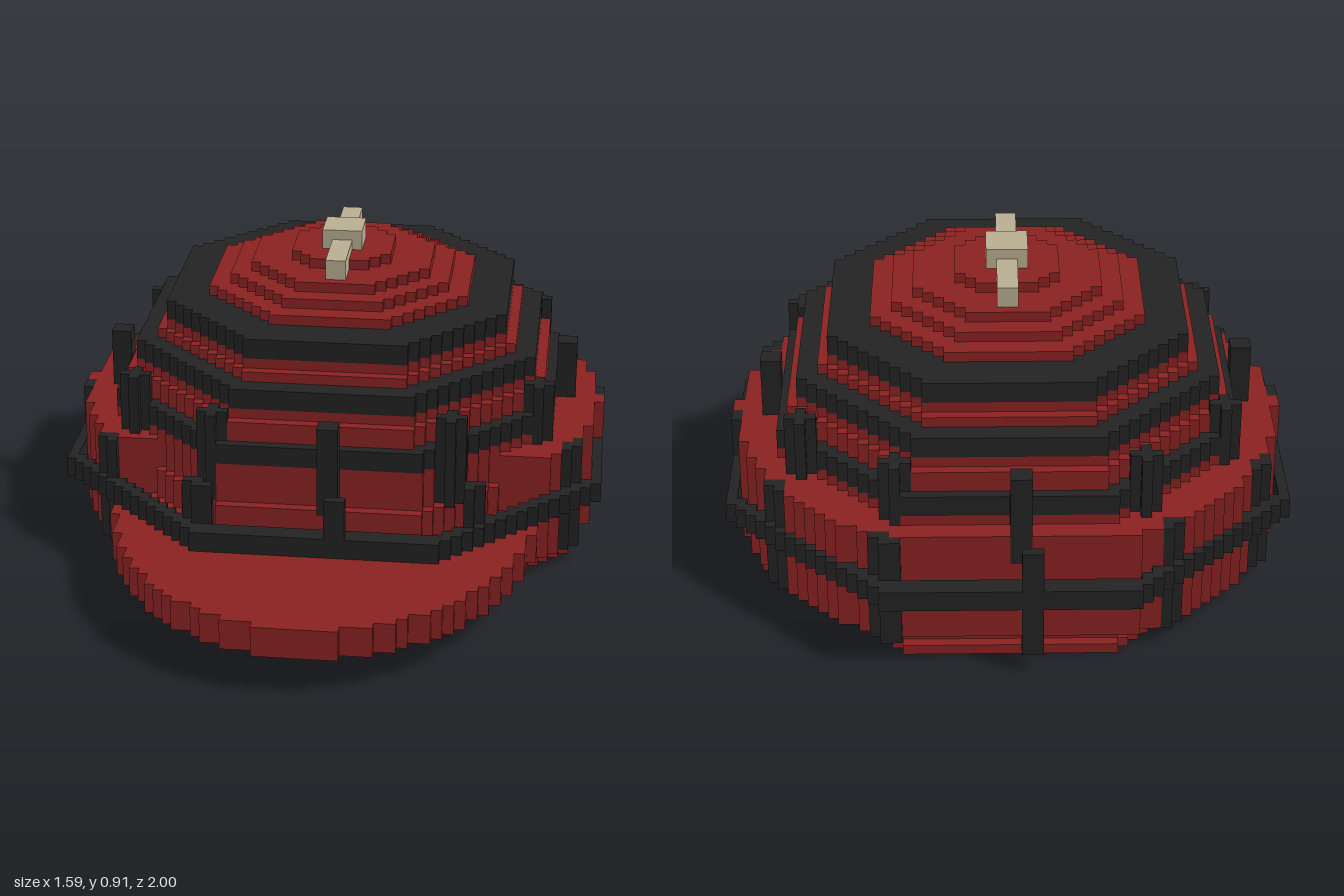
import * as THREE from 'three';

// Everything sits on a grid of small cubes; the dome axis is 7 cubes behind the centre.
const U = 2 / 68, AXIS_Z = -7;

const red = new THREE.MeshStandardMaterial({ name: 'red cloth', color: 0x8b2222 });
const black = new THREE.MeshStandardMaterial({ name: 'black trim', color: 0x232323 });
const tan = new THREE.MeshStandardMaterial({ name: 'tan button', color: 0xbab093 });

// Shape tests, all measured from the dome axis in cubes
const octagon = r => (x, z) => Math.max(Math.abs(x), Math.abs(z)) <= r && Math.abs(x) + Math.abs(z) <= r * Math.SQRT2 + 0.01;
const rect = (hx, z0, z1) => (x, z) => Math.abs(x) < hx && z > z0 && z < z1;
const posts = (r, start, halfDepth, halfWidth) => (x, z) => {
  for (let k = 0; k < 12; k++) {
    const a = THREE.MathUtils.degToRad(start + 30 * k), s = Math.sin(a), c = Math.cos(a);
    if (Math.abs(x * s + z * c - r) < halfDepth && Math.abs(x * c - z * s) < halfWidth) return true;
  }
  return false;
};

export function createModel() {
  const cells = new Map(), parts = new Map();
  const key = (x, y, z) => ((y + 2) * 200 + z + 100) * 200 + x + 100;

  // Fill the layers y0..y1 of a shape; later parts replace earlier ones
  function fill(name, material, y0, y1, inside) {
    parts.set(name, material);
    for (let z = -30; z < 45; z++) {
      for (let x = -30; x < 30; x++) {
        if (!inside(x + 0.5, z + 0.5)) continue;
        for (let y = y0; y < y1; y++) cells.set(key(x, y, z), { name, x, y, z });
      }
    }
  }

  // Brim
  fill('brim', red, 4, 7, (x, z) => z > 13 && (x / 21) ** 2 + ((z - 14) / 27) ** 2 <= 1);

  // Stepped crown: [radius, bottom, top]
  const crown = [[24, 0, 1], [23, 1, 10], [22, 10, 14], [21, 16, 18], [20, 18, 19], [18, 21, 22], [17, 22, 23],
    [13, 25, 26], [11, 26, 27], [9, 27, 28], [5, 28, 29]];
  for (const [r, y0, y1] of crown) fill('crown', red, y0, y1, octagon(r));

  // Side and back flap
  fill('flap', red, 2, 13, (x, z) => Math.hypot(x, z) < 26.52 && z > -24 && z < 15);

  // Black bands between the crown steps
  for (const [r, y0, y1] of [[22, 14, 16], [20, 19, 21], [17, 23, 25]]) fill('crownBand', black, y0, y1, octagon(r));

  // Upright posts around the crown and the flap
  fill('upperPosts', black, 10, 19, posts(23, 2.5, 1.1, 1.1));
  fill('lowerPosts', black, 2, 13, posts(26.5, 4.3, 0.75, 1.3));

  // Outer hoop
  const outer = octagon(27), inner = octagon(25.9);
  fill('hoop', black, 7, 9, (x, z) => outer(x, z) && !(inner(x, z) && Math.abs(z) < 25));

  // Button bar on top
  fill('buttonBar', tan, 28, 30, rect(1, -8, 8));
  fill('button', tan, 28, 31, rect(2, -2, 2));

  // Outward faces: direction and the four corners, counter-clockwise
  const sides = [];
  for (let axis = 0; axis < 3; axis++) {
    for (const sign of [1, -1]) {
      const normal = [0, 0, 0];
      normal[axis] = sign;
      const square = [[0, 0], [1, 0], [1, 1], [0, 1]];
      if (sign < 0) square.reverse();
      const corners = square.map(([a, b]) => {
        const p = [0, 0, 0];
        p[axis] = sign > 0 ? 1 : 0;
        p[(axis + 1) % 3] = a;
        p[(axis + 2) % 3] = b;
        return p;
      });
      sides.push({ normal, corners });
    }
  }

  // Skin each part, skipping faces hidden between cubes
  const skins = new Map([...parts.keys()].map(n => [n, { pos: [], nor: [] }]));
  for (const { name, x, y, z } of cells.values()) {
    const { pos, nor } = skins.get(name);
    for (const { normal, corners } of sides) {
      if (cells.has(key(x + normal[0], y + normal[1], z + normal[2]))) continue;
      for (const i of [0, 1, 2, 0, 2, 3]) {
        const c = corners[i];
        pos.push((x + c[0]) * U, (y + c[1]) * U, (z + c[2] + AXIS_Z) * U);
        nor.push(...normal);
      }
    }
  }

  const group = new THREE.Group();
  group.name = 'cap';
  for (const [name, { pos, nor }] of skins) {
    const geometry = new THREE.BufferGeometry();
    geometry.setAttribute('position', new THREE.Float32BufferAttribute(pos, 3));
    geometry.setAttribute('normal', new THREE.Float32BufferAttribute(nor, 3));
    const mesh = new THREE.Mesh(geometry, parts.get(name));
    mesh.name = name;
    group.add(mesh);
  }
  return group;
}
